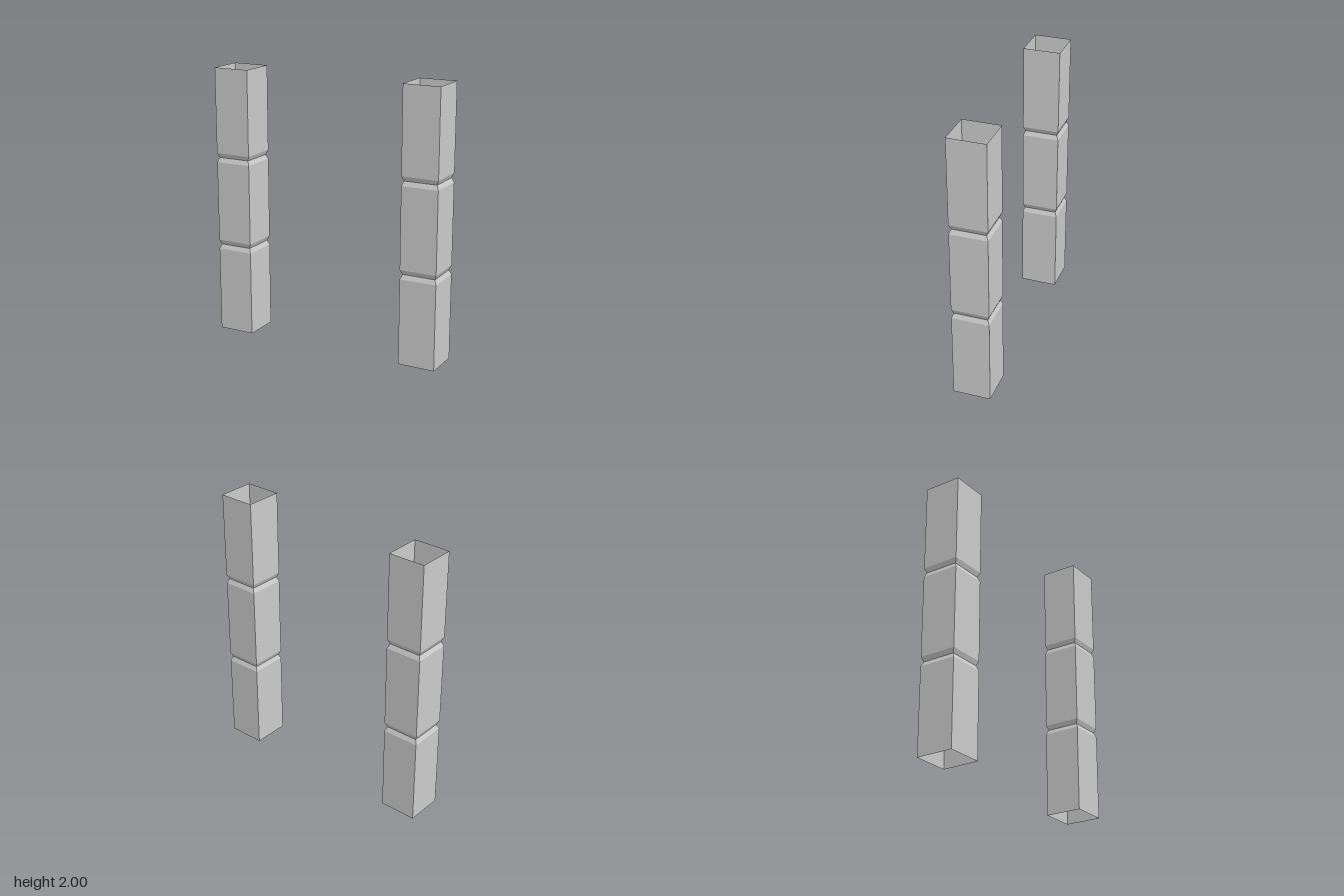
import * as THREE from 'three';

const HALF = 0.137;    // half width of a post
const INSET = 0.015;   // depth of the V grooves
const GROOVE = 0.034;  // half height of the V grooves
const HEIGHT = 2;

// Square hollow post, open at both ends, with two V grooves around it
function createPostGeometry() {
  const profile = [[HALF, 0]];
  for (const y of [HEIGHT / 3, HEIGHT * 2 / 3]) {
    profile.push([HALF, y - GROOVE], [HALF - INSET, y], [HALF, y + GROOVE]);
  }
  profile.push([HALF, HEIGHT]);
  const points = profile.map(([r, y]) => new THREE.Vector2(r * Math.SQRT2, y));
  const geometry = new THREE.LatheGeometry(points, 4, Math.PI / 4).toNonIndexed();
  geometry.computeVertexNormals();
  return geometry;
}

export function createModel() {
  const model = new THREE.Group();
  model.name = 'posts';
  const material = new THREE.MeshStandardMaterial({
    color: 0xcccccc, flatShading: true, side: THREE.DoubleSide,
  });
  const geometry = createPostGeometry();

  // Matching pair of posts
  for (const [name, side] of [['leftPost', 1], ['rightPost', -1]]) {
    const post = new THREE.Mesh(geometry, material);
    post.name = name;
    post.position.x = side * 0.748;
    model.add(post);
  }
  return model;
}
